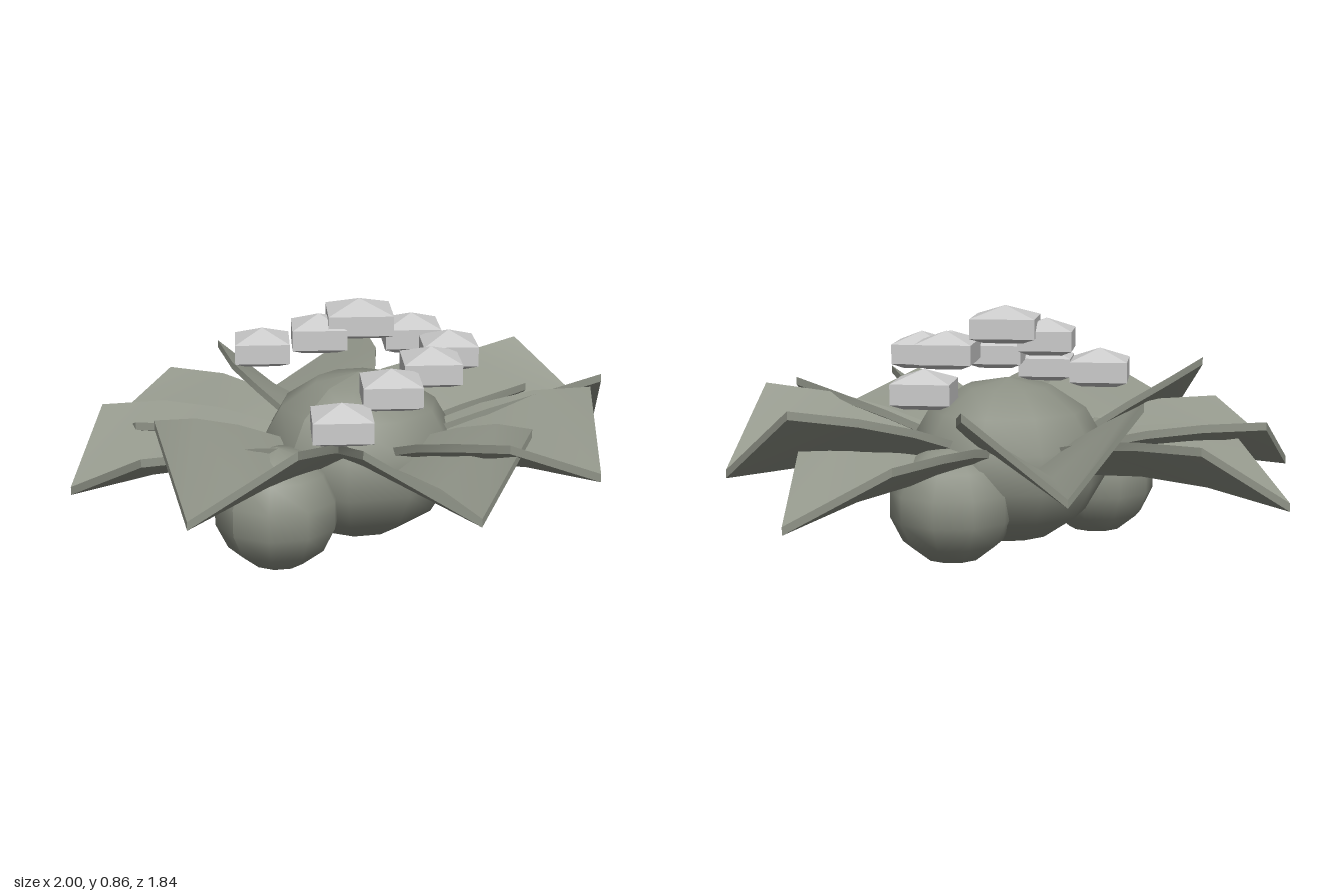
import * as THREE from 'three';
import { toCreasedNormals } from 'three/addons/utils/BufferGeometryUtils.js';

const V = (x, y, z) => new THREE.Vector3(x, y, z);
const leafMaterial = new THREE.MeshStandardMaterial({ color: 0x92968a, side: THREE.DoubleSide });
const fruitMaterial = new THREE.MeshStandardMaterial({ color: 0x8c9084 });
const blossomMaterial = new THREE.MeshStandardMaterial({ color: 0xcccccc, flatShading: true });

// A folded leaf: a low midrib runs out to the tip, both halves rise to a corner.
function leafGeometry(tip, left, right) {
  const out = V(tip.x, 0, tip.z).normalize();
  const across = V(-out.z, 0, out.x);
  const inner = 0.18;
  const base = out.clone().multiplyScalar(inner).setY(0.31);
  const along = [0, 0.36, 0.65, 1], widths = [0.42, 0.78, 0.97, 1];
  const side = (corner, s, w) => {
    const reach = corner.dot(out), spread = corner.dot(across);
    const p = out.clone().multiplyScalar(THREE.MathUtils.lerp(inner, reach, s));
    p.addScaledVector(across, spread * w);
    p.y = THREE.MathUtils.lerp(0.39, corner.y, s) + 0.03 * Math.sin(Math.PI * s);
    return p;
  };
  const points = [];
  along.forEach((s, i) => {
    const mid = base.clone().lerp(tip, s);
    mid.y += 0.04 * Math.sin(Math.PI * s);
    points.push(side(left, s, widths[i]), mid, side(right, s, widths[i]));
  });

  // Upper skin, lower skin and rim
  const n = points.length, index = [];
  for (const p of points.slice()) points.push(p.clone().setY(p.y - 0.028));
  for (let r = 0; r < 3; r++) {
    for (let c = 0; c < 2; c++) {
      const a = r * 3 + c, b = a + 1, d = a + 3, e = a + 4;
      // diagonals mirror about the midrib
      const tris = c ? [[a, b, d], [b, e, d]] : [[a, b, e], [a, e, d]];
      for (const [i, j, k] of tris) index.push(i, j, k, i + n, k + n, j + n);
    }
  }
  const rim = [0, 1, 2, 5, 8, 11, 10, 9, 6, 3];
  rim.forEach((a, i) => {
    const b = rim[(i + 1) % rim.length];
    index.push(a, a + n, b, b, a + n, b + n);
  });
  const g = new THREE.BufferGeometry().setFromPoints(points);
  g.setIndex(index);
  return toCreasedNormals(g, 0.6);
}

// A unit ball whose underside is cut flat at the given depth
function fruitGeometry(depth) {
  const g = new THREE.SphereGeometry(1, 10, 7);
  const p = g.attributes.position;
  for (let i = 0; i < p.count; i++) p.setY(i, Math.max(p.getY(i), -depth));
  g.computeVertexNormals();
  return g;
}

export function createModel() {
  const model = new THREE.Group();
  const add = (name, geometry, material, parent = model) => {
    const mesh = new THREE.Mesh(geometry, material);
    mesh.name = name;
    parent.add(mesh);
    return mesh;
  };

  // Three rounded fruits in a row: name, underside depth, centre, radii
  const fruits = [
    ['middleFruit', 0.9, [0.02, 0.318, 0.03], [0.355, 0.292, 0.35]],
    ['rightFruit', 1, [-0.375, 0.215, 0.01], [0.215, 0.213, 0.22]],
    ['leftFruit', 0.9, [0.295, 0.202, -0.015], [0.22, 0.208, 0.22]],
  ];
  for (const [name, depth, centre, radii] of fruits) {
    const fruit = add(name, fruitGeometry(depth), fruitMaterial);
    fruit.position.set(...centre);
    fruit.scale.set(...radii);
  }

  // Ring of leaves: tip, left corner, right corner (seen looking outward)
  const leaves = new THREE.Group();
  leaves.name = 'leaves';
  model.add(leaves);
  [
    [V(-0.40, 0.26, -0.92), V(-0.53, 0.44, -0.52), V(-0.05, 0.475, -0.86)],
    [V(0.37, 0.34, -0.71), V(0.02, 0.60, -0.67), V(0.56, 0.59, -0.42)],
    [V(1.00, 0.23, -0.07), V(0.765, 0.43, -0.34), V(0.74, 0.45, 0.23)],
    [V(0.93, 0.33, 0.41), V(0.895, 0.57, 0.06), V(0.645, 0.58, 0.62)],
    [V(0.21, 0.39, 0.915), V(0.485, 0.58, 0.68), V(-0.14, 0.55, 0.80)],
    [V(-0.33, 0.37, 0.84), V(-0.01, 0.57, 0.79), V(-0.53, 0.57, 0.53)],
    [V(-1.00, 0.40, 0.24), V(-0.73, 0.60, 0.445), V(-0.85, 0.62, -0.06)],
    [V(-0.86, 0.30, -0.48), V(-0.86, 0.48, -0.12), V(-0.55, 0.48, -0.67)],
  ].forEach((corners, i) => add(`leaf${i + 1}`, leafGeometry(...corners), leafMaterial, leaves));

  // Square blossoms floating above: x, y of the peak, z, half diagonal
  const blossoms = new THREE.Group();
  blossoms.name = 'blossoms';
  model.add(blossoms);
  [
    [-0.415, 0.66, 0.34, 0.137], [-0.185, 0.725, 0.35, 0.137], [0.045, 0.75, 0.33, 0.137],
    [0.215, 0.765, 0.27, 0.132], [0.255, 0.785, 0.07, 0.137], [0.495, 0.695, -0.135, 0.137],
    [0.045, 0.865, 0.01, 0.158], [-0.075, 0.82, -0.07, 0.132], [-0.11, 0.735, -0.31, 0.135],
  ].forEach(([x, y, z, r], i) => {
    const profile = [[0, -0.128], [r * 0.6, -0.126], [r, -0.108], [r, -0.04], [0, 0]];
    const geometry = new THREE.LatheGeometry(profile.map(([a, b]) => new THREE.Vector2(a, b)), 4);
    add(`blossom${i + 1}`, geometry, blossomMaterial, blossoms).position.set(x, y, z);
  });

  return model;
}
